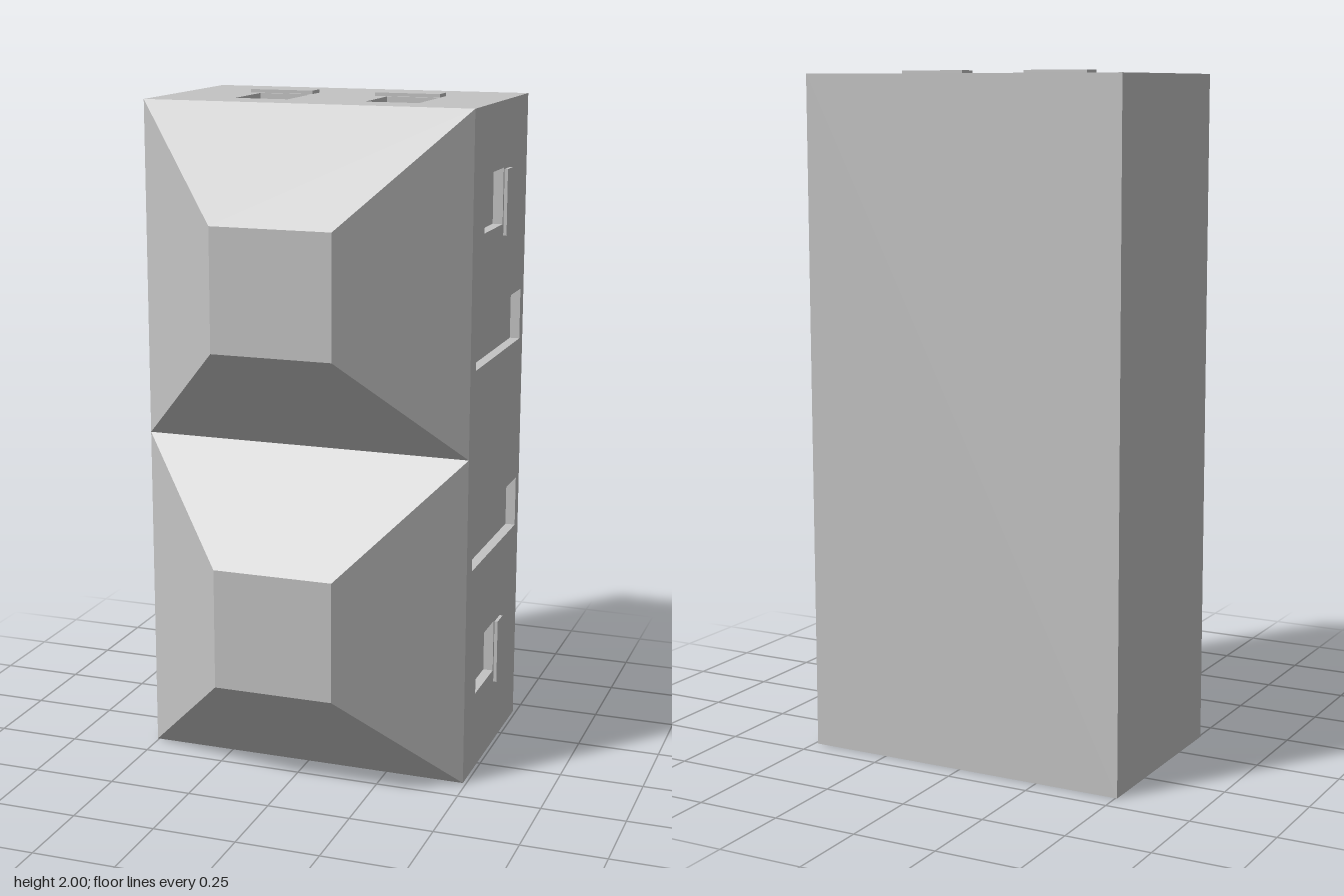
import * as THREE from 'three';

// Cabinet extents
const X0 = -0.505, X1 = 0.49, Z0 = -0.437, Z1 = 0.157, H = 1.99;
const DEPTH = 0.03, LIP = 0.01;

const grey = new THREE.MeshStandardMaterial({ color: 0xc4c4c4 });
grey.name = 'plain grey';

function rectangle(PathType, [x0, x1, y0, y1]) {
  const path = new PathType();
  path.moveTo(x0, y0).lineTo(x1, y0).lineTo(x1, y1).lineTo(x0, y1).closePath();
  return path;
}

// Inside of a shallow box, open toward +z
function recessGeometry([x0, x1, y0, y1]) {
  const g = new THREE.BoxGeometry(x1 - x0, y1 - y0, DEPTH);
  const kept = Array.from(g.index.array).filter((_, i) => i < 24 || i >= 30);
  g.setIndex(kept.reverse());
  const n = g.attributes.normal;
  for (let i = 0; i < n.array.length; i++) n.array[i] *= -1;
  g.translate((x0 + x1) / 2, (y0 + y1) / 2, -DEPTH / 2);
  return g;
}

// Flat panel facing +z with recesses and raised strips, given as [x0, x1, y0, y1]
function panel(name, outline, recesses = [], strips = []) {
  const group = new THREE.Group();
  group.name = name;
  const add = (part, geometry) => {
    const mesh = new THREE.Mesh(geometry, grey);
    mesh.name = part;
    group.add(mesh);
    return mesh;
  };
  const shape = rectangle(THREE.Shape, outline);
  shape.holes = recesses.map((r) => rectangle(THREE.Path, r));
  add(name + 'Face', new THREE.ShapeGeometry(shape));
  recesses.forEach((r) => add('recess', recessGeometry(r)));
  strips.forEach(([x0, x1, y0, y1]) => {
    add('raisedStrip', new THREE.BoxGeometry(x1 - x0, y1 - y0, LIP))
      .position.set((x0 + x1) / 2, (y0 + y1) / 2, LIP / 2);
  });
  return group;
}

export function createModel() {
  const model = new THREE.Group();
  model.name = 'cabinet';

  // Side with two long slots and two small recesses beside raised strips
  const leftSide = panel('leftSide', [-Z1, -Z0, 0, H],
    [[-0.037, 0.165, 1.63, 1.795], [-0.1, 0.4, 1.245, 1.4],
      [-0.1, 0.4, 0.645, 0.8], [-0.037, 0.165, 0.24, 0.403]],
    [[0.175, 0.235, 1.595, 1.79], [0.175, 0.235, 0.2, 0.398]]);
  leftSide.rotation.y = Math.PI / 2;
  leftSide.position.x = X1;

  // Top with a pair of recesses and strips
  const top = panel('top', [X0, X1, -Z1, -Z0],
    [[-0.27, -0.107, -0.03, 0.168], [0.13, 0.29, -0.03, 0.168]],
    [[-0.305, -0.107, 0.18, 0.24], [0.09, 0.29, 0.18, 0.24]]);
  top.rotation.x = -Math.PI / 2;
  top.position.y = H;

  // Plain panels
  const rightSide = panel('rightSide', [Z0, Z1, 0, H]);
  rightSide.rotation.y = -Math.PI / 2;
  rightSide.position.x = X0;

  const back = panel('back', [-X1, -X0, 0, H]);
  back.rotation.y = Math.PI;
  back.position.z = Z0;

  const bottom = panel('bottom', [X0, X1, Z0, Z1]);
  bottom.rotation.x = Math.PI / 2;

  model.add(leftSide, top, rightSide, back, bottom);

  // Two stacked truncated pyramids on the front
  const depth = 0.28, half = H / 4;
  const pyramid = new THREE.CylinderGeometry(0.18 * Math.SQRT2, half * Math.SQRT2, depth, 4)
    .rotateY(Math.PI / 4).rotateX(Math.PI / 2).toNonIndexed();
  pyramid.computeVertexNormals();
  ['lowerFrontPyramid', 'upperFrontPyramid'].forEach((name, i) => {
    const mesh = new THREE.Mesh(pyramid, grey);
    mesh.name = name;
    mesh.position.set((X0 + X1) / 2, half * (1 + 2 * i), Z1 + depth / 2);
    model.add(mesh);
  });

  return model;
}
